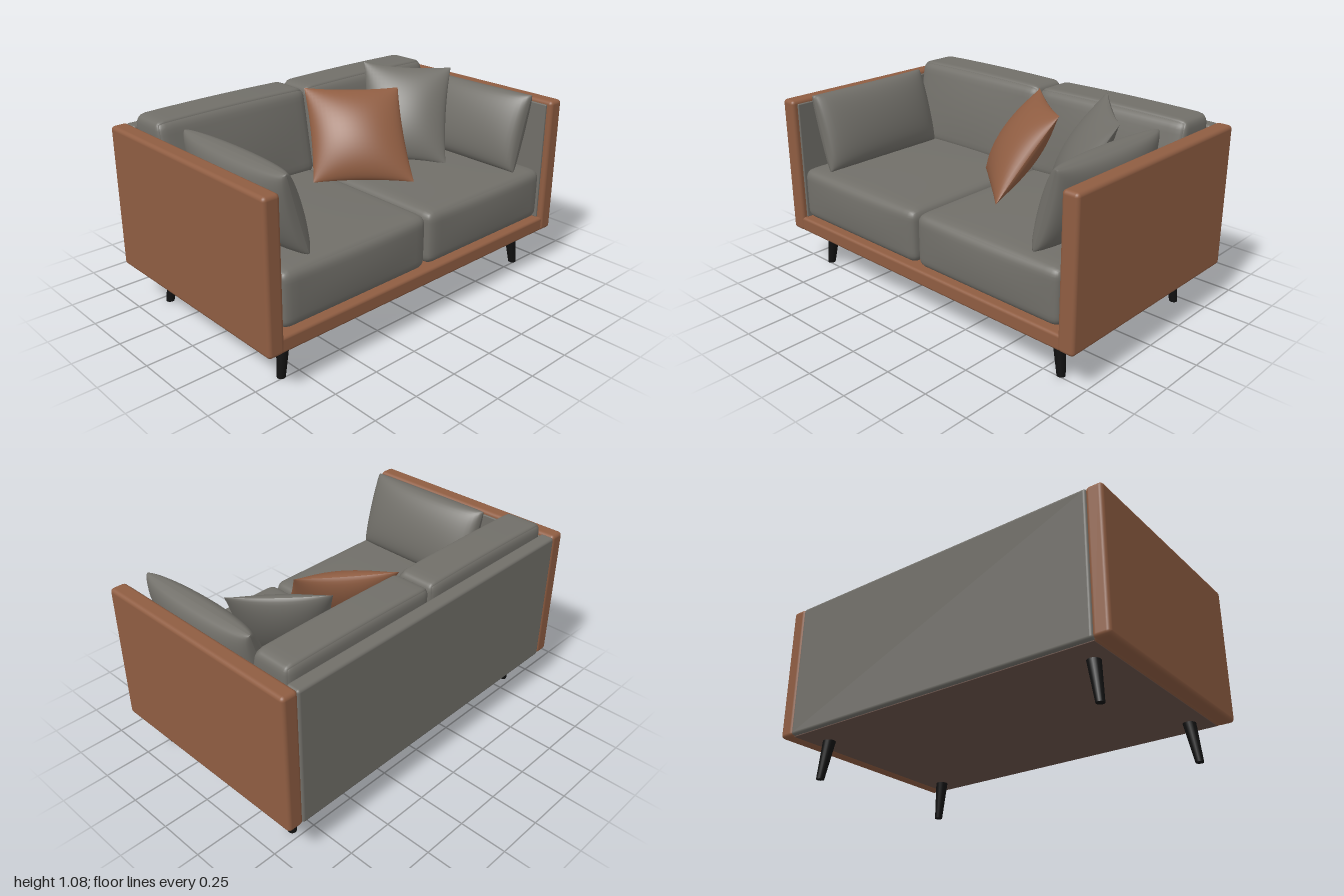
import * as THREE from 'three';
import { mergeVertices, mergeGeometries } from 'three/addons/utils/BufferGeometryUtils.js';
import { RoundedBoxGeometry } from 'three/addons/geometries/RoundedBoxGeometry.js';

const material = (name, color) => {
  const m = new THREE.MeshStandardMaterial({ color });
  m.name = name;
  return m;
};

// Clusters evenly spaced values of -1..1 towards the ends, for crisp rounded edges
const ease = (t) => Math.sin((t * Math.PI) / 2);

// Soft upholstery block with rounded edges; shape(p, u, v, w) adjusts each point
function cushion(min, max, radius, shape) {
  const lo = new THREE.Vector3(...min), hi = new THREE.Vector3(...max);
  const centre = lo.clone().add(hi).multiplyScalar(0.5);
  const half = hi.clone().sub(lo).multiplyScalar(0.5);
  const inner = half.clone().subScalar(radius);
  let geo = new THREE.BoxGeometry(2, 2, 2, 20, 20, 20);
  geo.deleteAttribute('normal');
  geo.deleteAttribute('uv');
  geo = mergeVertices(geo);
  const pos = geo.attributes.position;
  const p = new THREE.Vector3(), core = new THREE.Vector3();
  for (let i = 0; i < pos.count; i++) {
    p.fromBufferAttribute(pos, i);
    p.set(ease(p.x), ease(p.y), ease(p.z));
    const [u, v, w] = p.toArray();
    p.multiply(half);
    core.copy(p).clamp(inner.clone().negate(), inner);
    p.sub(core).setLength(radius).add(core).add(centre);
    shape(p, u, v, w);
    pos.setXYZ(i, p.x, p.y, p.z);
  }
  geo.computeVertexNormals();
  return geo;
}

// Stuffed pillow from four corners: bottom left, bottom right, top right, top left
function pillow(corners, thickness, pinch, fullness) {
  const [a, b, c, d] = corners.map((k) => new THREE.Vector3(...k));
  const normal = b.clone().sub(a).cross(d.clone().sub(a)).normalize();
  const halves = [1, -1].map((side) => {
    const geo = new THREE.PlaneGeometry(2, 2, 24, 24);
    const pos = geo.attributes.position;
    for (let i = 0; i < pos.count; i++) {
      const u = ease(pos.getX(i)) * side, v = ease(pos.getY(i));
      const fu = 1 - u * u, fv = 1 - v * v;
      const s = (u * (1 - pinch * fv) + 1) / 2, t = (v * (1 - pinch * fu) + 1) / 2;
      const bottom = a.clone().lerp(b, s), top = d.clone().lerp(c, s);
      const p = bottom.lerp(top, t);
      p.addScaledVector(normal, side * thickness * Math.pow(Math.max(fu * fv, 0), fullness));
      pos.setXYZ(i, p.x, p.y, p.z);
    }
    geo.computeVertexNormals();
    return geo;
  });
  return mergeGeometries(halves);
}

export function createModel() {
  const leather = material('brown leather', 0x8f5d42);
  const fabric = material('grey fabric', 0x716f69);
  const lining = material('dark underside', 0x6a534a);
  const black = material('black legs', 0x111111);

  const sofa = new THREE.Group();
  sofa.name = 'sofa';
  const add = (name, geo, mat) => {
    const mesh = new THREE.Mesh(geo, mat);
    mesh.name = name;
    sofa.add(mesh);
    return mesh;
  };
  const box = (name, min, max, radius, mat) => {
    const size = max.map((v, i) => v - min[i]);
    const mesh = add(name, new RoundedBoxGeometry(...size, 3, radius), mat);
    mesh.position.set(...max.map((v, i) => (v + min[i]) / 2));
  };

  // Frame
  box('baseRail', [-0.93, 0.21, -0.59], [0.93, 0.29, 0.605], 0.015, leather);
  box('backPanel', [-0.915, 0.212, -0.612], [0.915, 0.955, -0.535], 0.015, fabric);
  box('undersidePanel', [-0.91, 0.207, -0.59], [0.91, 0.213, 0.59], 0.002, lining);

  for (const side of [-1, 1]) {
    const name = side > 0 ? 'left' : 'right';
    const span = (x0, x1) => (side > 0 ? [x0, x1] : [-x1, -x0]);

    // Arm panel and its fabric inner face
    const [ax0, ax1] = span(0.91, 0.998);
    box(name + 'Arm', [ax0, 0.21, -0.61], [ax1, 0.96, 0.61], 0.02, leather);
    const [lx0, lx1] = span(0.9, 0.915);
    box(name + 'ArmLining', [lx0, 0.29, -0.54], [lx1, 0.94, 0.58], 0.005, fabric);

    // Seat cushion: crowned top, gently bowed front
    const [sx0, sx1] = span(0.004, 0.898);
    add(name + 'SeatCushion', cushion([sx0, 0.295, -0.54], [sx1, 0.582, 0.59], 0.05, (p, u, v, w) => {
      if (v > 0) p.y += 0.015 * v * (1 - u * u) * (1 - w * w);
      if (w > 0) p.z += 0.015 * w * (1 - u * u) * (1 - v * v);
    }), fabric);

    // Back cushion: front face leans backwards towards the top
    const [bx0, bx1] = span(0.004, 0.905);
    add(name + 'BackCushion', cushion([bx0, 0.565, -0.54], [bx1, 1.02, -0.235], 0.045, (p, u, v, w) => {
      const front = (w + 1) / 2;
      p.z += front * (0.02 * (1 - u * u) * (1 - v * v) - 0.085 * (v + 1) / 2);
      if (v > 0) p.y += 0.006 * v * (1 - u * u);
    }), fabric);

    // Side pillow resting against the arm
    const low = side * 0.71, high = side * 0.825;
    const back = -0.215, front = 0.54;
    const ends = side > 0 ? [back, front] : [front, back];
    add(name + 'SidePillow', pillow([
      [low, 0.595, ends[0]], [low, 0.595, ends[1]],
      [high, 1.0, ends[1]], [high, 0.995, ends[0]],
    ], 0.105, 0.01, 0.35), fabric);

    // Splayed tapered legs
    for (const [place, zTop, zFoot] of [['Front', 0.472, 0.485], ['Back', -0.435, -0.45]]) {
      const geo = new THREE.CylinderGeometry(0.034, 0.021, 0.215, 20);
      geo.translate(0, 0.1075, 0);
      const shear = new THREE.Matrix4().set(
        1, side * -0.14, 0, side * 0.843,
        0, 1, 0, 0,
        0, (zTop - zFoot) / 0.215, 1, zFoot,
        0, 0, 0, 1);
      geo.applyMatrix4(shear);
      add(name + place + 'Leg', geo, black);
    }
  }

  // Loose throw pillows
  add('brownThrowPillow', pillow([
    [-0.16, 0.59, -0.08], [0.235, 0.59, 0.265], [0.39, 1.01, -0.02], [0.0, 1.015, -0.335],
  ], 0.1, 0.05, 0.6), leather);
  add('greyThrowPillow', pillow([
    [0.25, 0.595, -0.13], [0.555, 0.59, 0.2], [0.77, 1.06, 0.02], [0.44, 1.08, -0.335],
  ], 0.09, 0.06, 0.6), fabric);

  return sofa;
}
